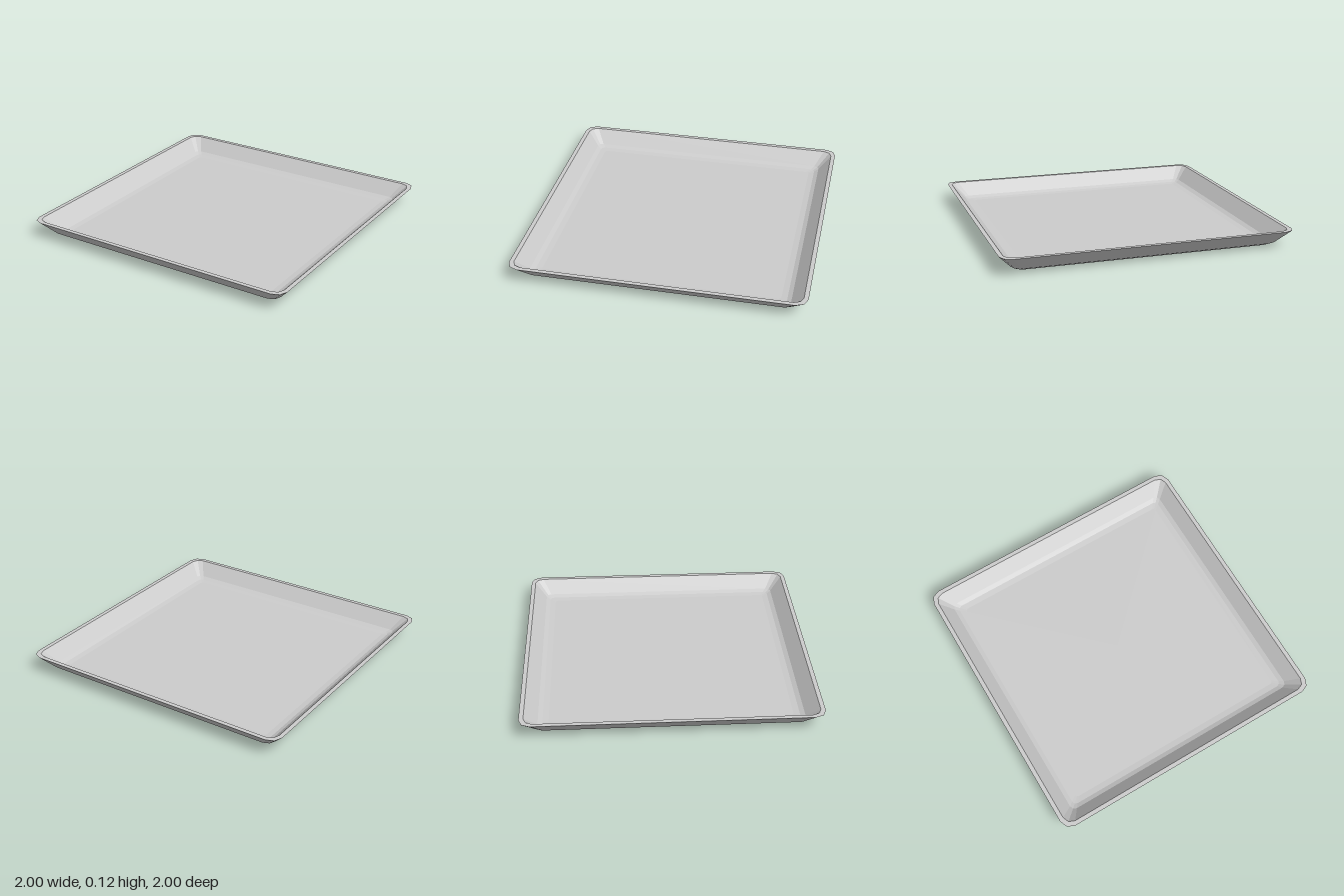
import * as THREE from 'three';

// Square ring with two-facet rounded corners, running +z towards +x
function ring(half, radius, y) {
  const points = [];
  const c = half - radius;
  const signs = [[1, 1], [-1, 1], [-1, -1], [1, -1]];
  signs.forEach(([sx, sz], corner) => {
    for (let i = 0; i < 3; i++) {
      const a = corner * Math.PI / 2 + i * Math.PI / 4;
      points.push([sx * c + radius * Math.cos(a), y, sz * c + radius * Math.sin(a)]);
    }
  });
  return points;
}

// Skin consecutive rings, ending each open end with a flat cap
function skin(rings) {
  const positions = [];
  const n = rings[0].length;
  const tri = (a, b, c) => positions.push(...a, ...b, ...c);
  const cap = (r, up) => {
    const centre = [0, r[0][1], 0];
    for (let i = 0; i < n; i++) {
      const a = r[i], b = r[(i + 1) % n];
      if (up) tri(centre, b, a);
      else tri(centre, a, b);
    }
  };
  cap(rings[0], false);
  for (let k = 0; k < rings.length - 1; k++) {
    for (let i = 0; i < n; i++) {
      const j = (i + 1) % n;
      const a = rings[k][i], b = rings[k][j];
      const c = rings[k + 1][j], d = rings[k + 1][i];
      tri(a, d, c);
      tri(a, c, b);
    }
  }
  cap(rings[rings.length - 1], true);
  const geometry = new THREE.BufferGeometry();
  geometry.setAttribute('position', new THREE.Float32BufferAttribute(positions, 3));
  geometry.computeVertexNormals();
  return geometry;
}

export function createModel() {
  const group = new THREE.Group();
  group.name = 'squareTray';

  // Half width, corner radius, height: underside, outer wall, rim, inner wall, floor
  const profile = [
    [0.81, 0.03, 0],
    [0.87, 0.045, 0.007],
    [0.91, 0.06, 0.027],
    [1.0, 0.075, 0.125],
    [0.97, 0.06, 0.125],
    [0.885, 0.035, 0.035],
    [0.855, 0.028, 0.021],
    [0.815, 0.02, 0.016],
  ];
  const material = new THREE.MeshStandardMaterial({ color: 0xcccccc, flatShading: true });
  const tray = new THREE.Mesh(skin(profile.map((p) => ring(...p))), material);
  tray.name = 'tray';
  group.add(tray);
  return group;
}
